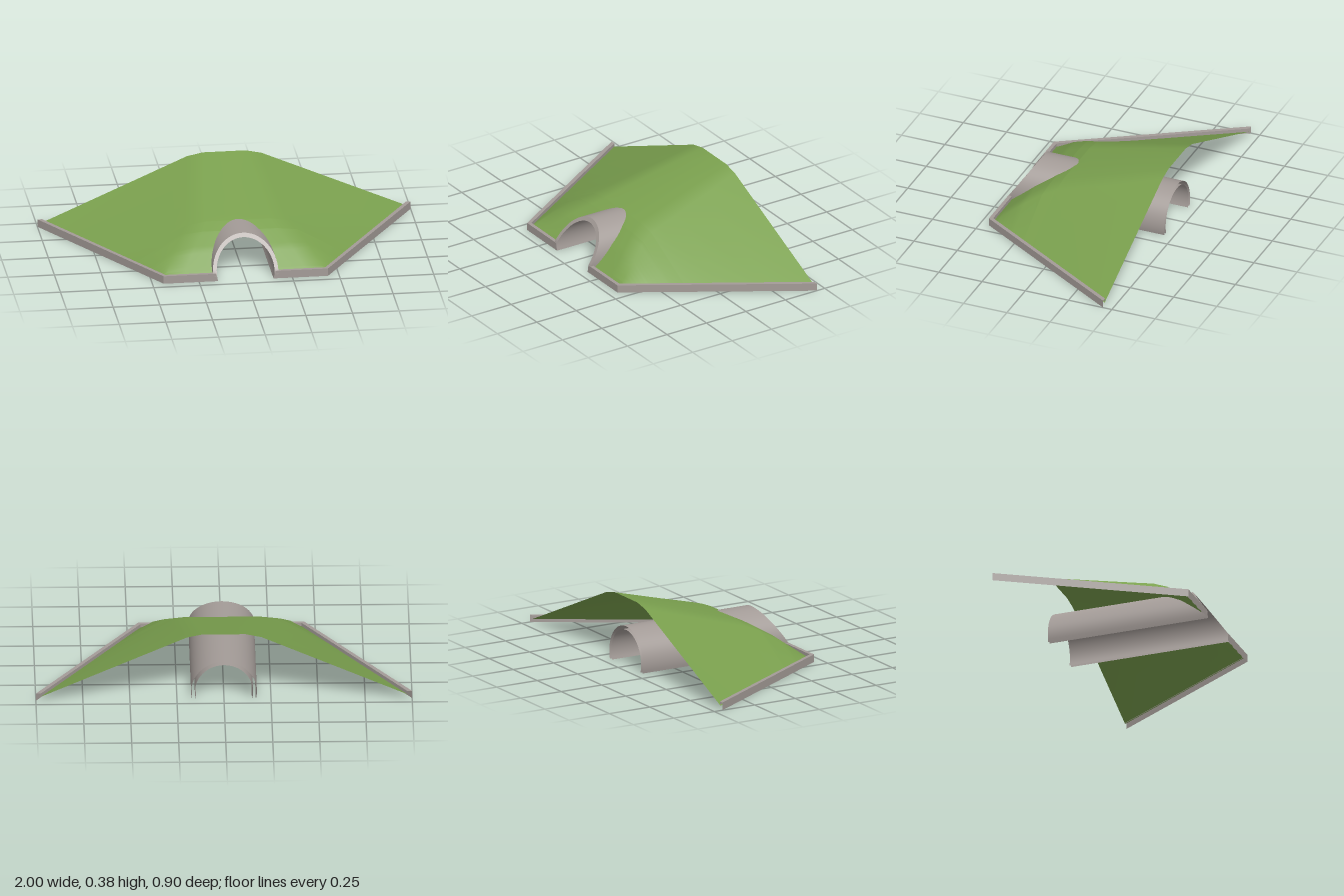
import * as THREE from 'three';

const grass = new THREE.MeshStandardMaterial({ color: 0x7aa04e, side: THREE.DoubleSide });
grass.name = 'grass green';
const concrete = new THREE.MeshStandardMaterial({ color: 0xa39b97, side: THREE.DoubleSide });
concrete.name = 'concrete grey';

// Surface through rows of points, smooth inside one strip
function strip(rows) {
  const n = rows[0].length, index = [];
  for (let i = 0; i < rows.length - 1; i++) {
    for (let j = 0; j < n - 1; j++) {
      const a = i * n + j, b = a + 1, c = a + n, d = c + 1;
      index.push(a, c, b, b, c, d);
    }
  }
  const g = new THREE.BufferGeometry();
  g.setAttribute('position', new THREE.Float32BufferAttribute(rows.flat(2), 3));
  g.setIndex(index);
  g.computeVertexNormals();
  return g;
}

function add(group, name, geometry, material) {
  const mesh = new THREE.Mesh(geometry, material);
  mesh.name = name;
  group.add(mesh);
}

const BACK = -0.45, FRONT = 0.45, CENTRE_Y = 0.045, OUTER = 0.175, INNER = 0.155;

// Hillside stations: z, shoulder x, shoulder y, crown x, crown y
const stations = [
  [-0.45, 0.2, 0.362, 0.115, 0.38],
  [0.13, 0.28, 0.201, 0.17, 0.218],
  [0.2, 0.31, 0.174, 0.2, 0.186],
  [0.3, 0.365, 0.115, 0.26, 0.125],
  [0.405, 0.415, 0.038, 0.32, 0.042],
  [0.432, 0.43, 0.02, 0.33, 0.02],
];

// Half cross-section of the hillside, from the tunnel shell out to the kerb
function hillSection(z) {
  let k = 0;
  while (k < stations.length - 2 && z > stations[k + 1][0]) k++;
  const p = stations[k], q = stations[k + 1], t = (z - p[0]) / (q[0] - p[0]);
  const [, sx, sy, cx, cy] = p.map((v, i) => v + (q[i] - v) * t);
  const r = 0.17, h = cy - CENTRE_Y;
  const hole = h < r ? Math.sqrt(r * r - h * h) : 0;
  const base = 0.432 + (0.432 - z) * 0.622;
  return [[hole, cy, z], [cx, cy, z], [sx, sy, z], [base, 0.02, z]];
}

function buildHill(group) {
  const zs = [-0.45, -0.25, -0.05, 0.08, 0.13];
  for (let z = 0.134; z < 0.2; z += 0.004) zs.push(z);
  for (let z = 0.2; z < 0.43; z += 0.02) zs.push(z);
  zs.push(0.405, 0.432);
  zs.sort((a, b) => a - b);
  const left = zs.map(hillSection);
  const right = left.map(row => row.map(([x, y, z]) => [-x, y, z]).reverse());
  add(group, 'leftHillside', strip(left), grass);
  add(group, 'rightHillside', strip(right), grass);
}

// Arched tunnel lining with a raked mouth, a double shell open at the back
function buildTunnel(group) {
  const N = 40;
  const arc = (r, z) => {
    const foot = Math.asin(-CENTRE_Y / r);
    return Array.from({ length: N + 1 }, (_, i) => {
      const a = Math.PI - foot - (i / N) * (Math.PI - 2 * foot);
      const y = CENTRE_Y + r * Math.sin(a);
      return [r * Math.cos(a), y, z ?? FRONT - Math.max(0, y - 0.04) * 0.695];
    });
  };
  const outerFront = arc(OUTER), innerFront = arc(INNER);
  add(group, 'tunnelOutside', strip([arc(OUTER, BACK), outerFront]), concrete);
  add(group, 'tunnelInside', strip([innerFront, arc(INNER, BACK)]), concrete);
  add(group, 'tunnelFrontRim', strip([outerFront, innerFront]), concrete);
}

// Low kerb on each side: outer wall, top and inner lip, each with a short front run and a splayed run
function buildKerb(group) {
  const outer = [[0.16, 0.45], [0.44, 0.45], [1, -0.45]];
  const inner = [[0.16, 0.43], [0.428, 0.43], [0.974, -0.45]];
  const H = 0.042;
  for (const s of [1, -1]) {
    const kerb = new THREE.Group();
    kerb.name = s > 0 ? 'leftKerb' : 'rightKerb';
    const face = (name, pathA, yA, pathB, yB) => {
      for (let i = 0; i < 2; i++) {
        const edge = (path, y) => [path[i], path[i + 1]].map(([x, z]) => [s * x, y, z]);
        const rows = [edge(pathA, yA), edge(pathB, yB)];
        add(kerb, name, strip(s > 0 ? rows : rows.reverse()), concrete);
      }
    };
    face('kerbOuterWall', outer, H, outer, 0);
    face('kerbTop', inner, H, outer, H);
    face('kerbInnerLip', inner, 0.02, inner, H);
    group.add(kerb);
  }
}

export function createModel() {
  const group = new THREE.Group();
  group.name = 'tunnelPortal';
  buildHill(group);
  buildTunnel(group);
  buildKerb(group);
  return group;
}
